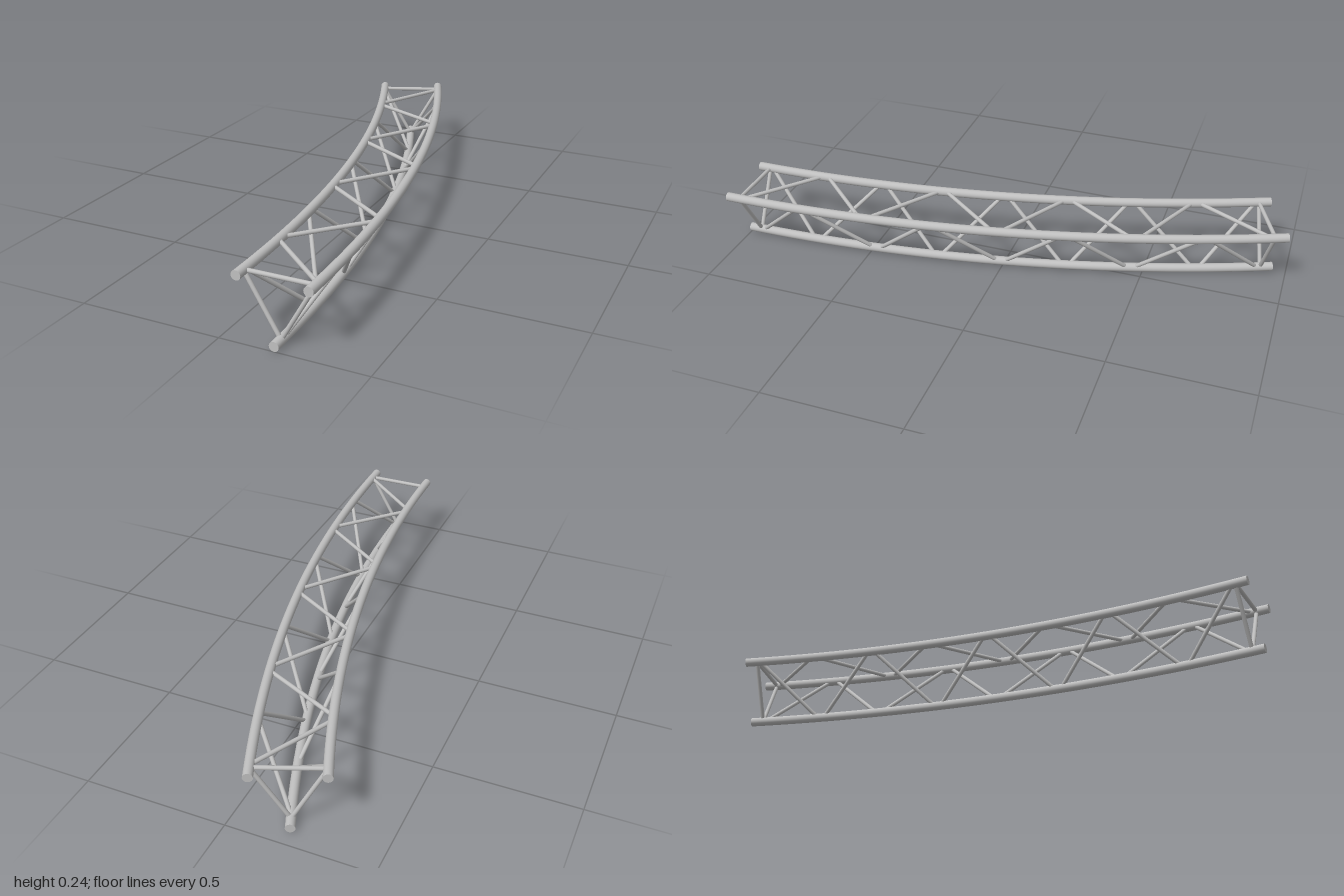
import * as THREE from 'three';

const SWEEP = Math.PI / 8;      // 22.5 degree bend
const CENTRE_X = -4.903;        // bend centre, level with the front end at z = 1
const CHORD_R = 0.0165, STRUT_R = 0.0075;
const BAYS = 8;

// the three main tubes: bend radius and height
const chords = {
  inner: { radius: 4.973, y: 0.2225 },
  bottom: { radius: 5.0915, y: 0.0165 },
  outer: { radius: 5.21, y: 0.2225 },
};

const pointOn = (chord, a) => new THREE.Vector3(
  CENTRE_X + chord.radius * Math.cos(a), chord.y, 1 - chord.radius * Math.sin(a));

class ArcCurve extends THREE.Curve {
  constructor(chord) { super(); this.chord = chord; }
  getPoint(t, target = new THREE.Vector3()) {
    return target.copy(pointOn(this.chord, t * SWEEP));
  }
}

export function createModel() {
  const model = new THREE.Group();
  model.name = 'curvedTriangularTruss';
  const metal = new THREE.MeshStandardMaterial({ color: 0xbfbfbf });
  metal.name = 'aluminium grey';

  const add = (geometry, name) => {
    const mesh = new THREE.Mesh(geometry, metal);
    mesh.name = name;
    model.add(mesh);
    return mesh;
  };

  // straight round bar between two points
  const strut = (p, q, name) => {
    const dir = q.clone().sub(p);
    const mesh = add(new THREE.CylinderGeometry(STRUT_R, STRUT_R, dir.length(), 12), name);
    mesh.position.copy(p).add(q).multiplyScalar(0.5);
    mesh.quaternion.setFromUnitVectors(new THREE.Vector3(0, 1, 0), dir.normalize());
  };

  // main tubes with flat end caps
  for (const [name, chord] of Object.entries(chords)) {
    add(new THREE.TubeGeometry(new ArcCurve(chord), 32, CHORD_R, 20), name + 'Chord');
    for (const a of [0, SWEEP]) {
      const cap = add(new THREE.CircleGeometry(CHORD_R, 20), name + 'ChordCap');
      cap.position.copy(pointOn(chord, a));
      cap.rotation.y = a ? Math.PI + a : 0;
    }
  }

  // each face: a zigzag of diagonals closed by a straight bar at either end
  const margin = 0.0088, gap = 0.0022;
  const step = (SWEEP - 2 * margin) / BAYS;
  const faces = [['inner', 'bottom'], ['bottom', 'outer'], ['outer', 'inner']];
  for (const [first, second] of faces) {
    const pair = [chords[first], chords[second]];
    for (let i = 0; i < BAYS; i++) {
      const a = margin + i * step;
      strut(pointOn(pair[i % 2], a + gap), pointOn(pair[(i + 1) % 2], a + step - gap),
        first + 'Diagonal');
    }
    for (const a of [margin, SWEEP - margin]) {
      strut(pointOn(pair[0], a), pointOn(pair[1], a), first + 'EndBar');
    }
  }
  return model;
}
